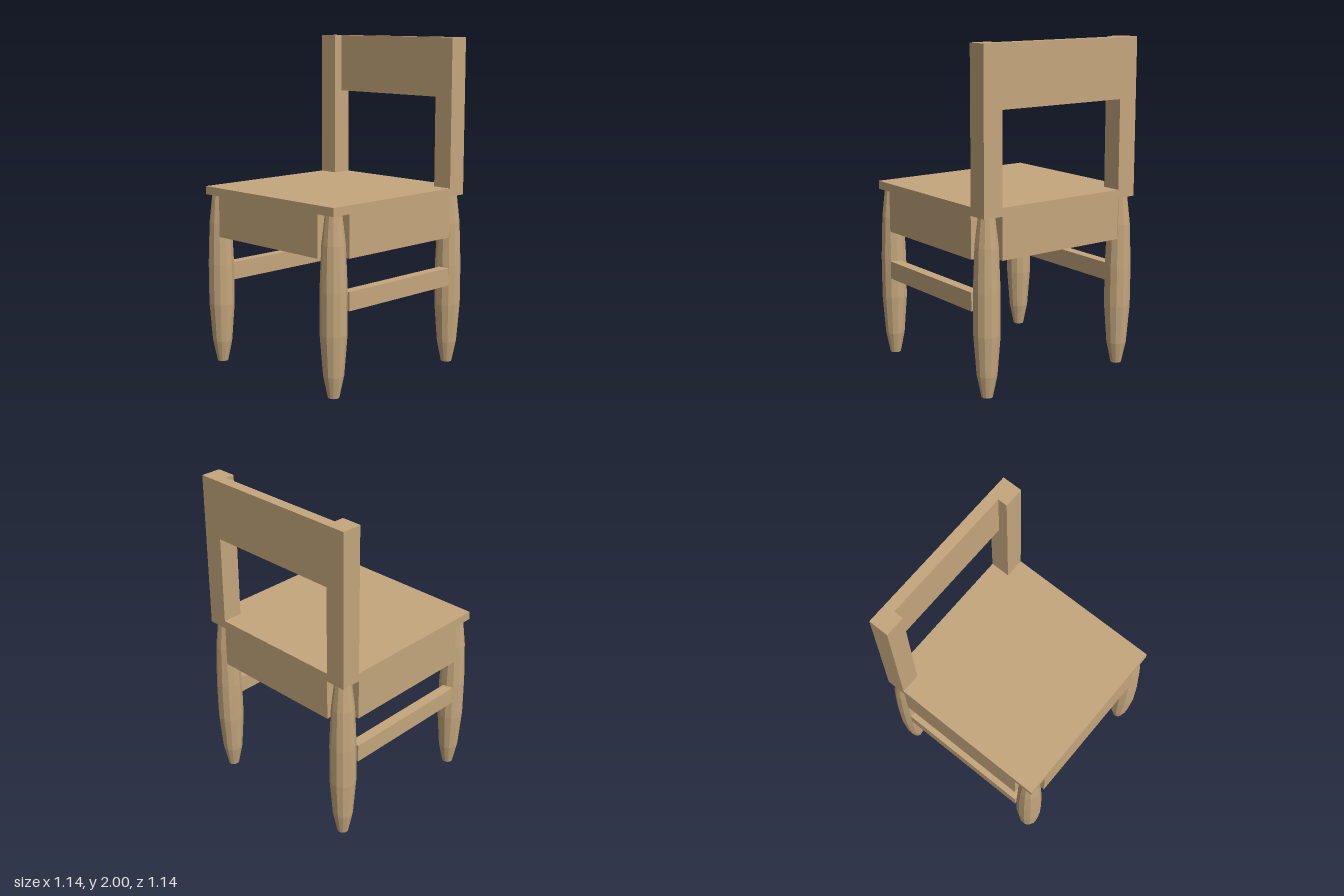
import * as THREE from 'three';

export function createModel() {
  const chair = new THREE.Group();
  chair.name = 'chair';
  const wood = new THREE.MeshStandardMaterial({ color: 0xc4a67c });
  wood.name = 'light wood';

  const E = 0.555; // outer edge of the frame
  const P = 0.43;  // inner edge of the posts
  const T = 0.065; // board thickness

  const add = (name, geometry) => {
    const mesh = new THREE.Mesh(geometry, wood);
    mesh.name = name;
    chair.add(mesh);
    return mesh;
  };
  // box given by its low and high corners
  const board = (name, x0, x1, y0, y1, z0, z1) =>
    add(name, new THREE.BoxGeometry(x1 - x0, y1 - y0, z1 - z0))
      .position.set((x0 + x1) / 2, (y0 + y1) / 2, (z0 + z1) / 2);

  // seat board, notched at the rear corners for the back posts
  const outline = [[-E, -E], [E, -E], [E, P], [P, P], [P, E], [-P, E], [-P, P], [-E, P]];
  const seatShape = new THREE.Shape(outline.map(([x, y]) => new THREE.Vector2(x, y)));
  const seat = new THREE.ExtrudeGeometry(seatShape, { depth: 0.05, bevelEnabled: false });
  seat.rotateX(-Math.PI / 2);
  add('seat', seat).position.y = 1.05;

  // back rest
  board('backPanel', -P, P, 1.64, 2, -E, -E + T);

  // aprons under the front and back edges
  board('frontApron', -P, P, 0.8, 1.05, E - T, E);
  board('backApron', -P, P, 0.8, 1.05, -E, -E + T);

  // turned twelve-sided leg: radius, height
  const profile = [[0, 0], [0.032, 0], [0.058, 0.13], [0.076, 0.37], [0.076, 0.62],
    [0.066, 0.88], [0.047, 1.05], [0, 1.05]]
    .map(([r, y]) => new THREE.Vector2(r / Math.cos(Math.PI / 12), y));
  const legGeometry = new THREE.LatheGeometry(profile, 12).rotateY(Math.PI / 12).toNonIndexed();
  legGeometry.computeVertexNormals();

  for (const [side, s] of [['left', 1], ['right', -1]]) {
    const span = (a, b) => (s > 0 ? [a, b] : [-b, -a]);
    board(side + 'BackPost', ...span(P, E), 1.05, 2, -E, -P);
    board(side + 'Apron', ...span(E - T, E), 0.8, 1.05, -P, P);
    board(side + 'Stretcher', ...span(E - T, E), 0.5, 0.61, -P, P);
    add(side + 'FrontLeg', legGeometry).position.set(s * 0.494, 0, 0.494);
    add(side + 'BackLeg', legGeometry).position.set(s * 0.494, 0, -0.494);
  }
  return chair;
}
